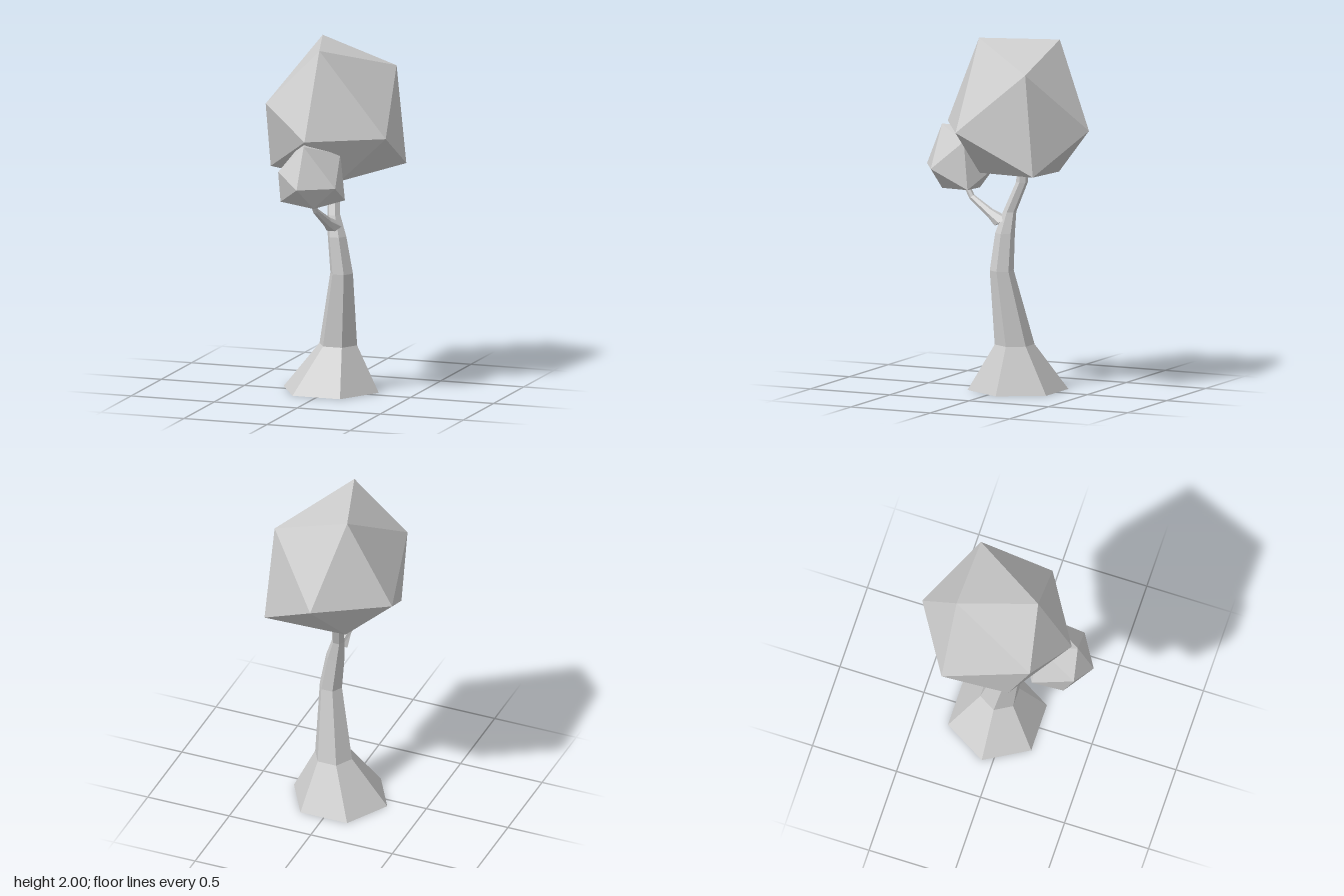
import * as THREE from 'three';
import { ConvexGeometry } from 'three/addons/geometries/ConvexGeometry.js';

const material = new THREE.MeshStandardMaterial({ color: 0xcccccc, flatShading: true });
const SIDES = 6;

// Six-sided limb through rings [x, y, z, radius, tilt about x], closed at both ends.
function limb(name, rings) {
  const axisX = new THREE.Vector3(1, 0, 0);
  const loops = rings.map(([x, y, z, r, tilt = 0]) =>
    Array.from({ length: SIDES }, (_, i) => {
      const a = (i / SIDES) * Math.PI * 2;
      return new THREE.Vector3(r * Math.cos(a), 0, r * Math.sin(a))
        .applyAxisAngle(axisX, tilt)
        .add(new THREE.Vector3(x, y, z));
    }));
  const points = [];
  for (let k = 0; k < loops.length - 1; k++) {
    const low = loops[k], up = loops[k + 1];
    for (let i = 0; i < SIDES; i++) {
      const j = (i + 1) % SIDES;
      points.push(low[j], low[i], up[i], low[j], up[i], up[j]);
    }
  }
  const first = loops[0], last = loops[loops.length - 1];
  for (let i = 1; i < SIDES - 1; i++) {
    points.push(first[0], first[i], first[i + 1], last[0], last[i + 1], last[i]);
  }
  const geometry = new THREE.BufferGeometry().setFromPoints(points);
  geometry.computeVertexNormals();
  const mesh = new THREE.Mesh(geometry, material);
  mesh.name = name;
  return mesh;
}

// Irregular twenty-sided foliage lump.
const crownCorners = [
  [-0.125, 2.0, -0.265], [0.015, 2.0, 0.175],                        // top ridge
  [0.32, 1.855, -0.265], [-0.29, 1.685, 0.225],                      // shoulders
  [0, 1.51, -0.51], [-0.4, 1.51, -0.265], [0.4, 1.51, 0.135], [0, 1.51, 0.38], // waist
  [0.355, 1.28, -0.33], [-0.305, 1.3, 0.1],                          // lower corners
  [0.12, 1.245, 0.12], [-0.115, 1.245, -0.265],                      // bottom ridge
].map((p) => new THREE.Vector3(...p));

function crown(name, scale, y, z) {
  const mesh = new THREE.Mesh(new ConvexGeometry(crownCorners), material);
  mesh.name = name;
  mesh.scale.setScalar(scale);
  mesh.position.set(0, y, z);
  return mesh;
}

export function createModel() {
  const tree = new THREE.Group();
  tree.name = 'tree';

  // Trunk with flared foot, leaning back into the large crown
  tree.add(limb('trunk', [
    [0, 0, -0.0625, 0.286],
    [0.043, 0.265, -0.0625, 0.113],
    [0.085, 0.69, -0.002, 0.068],
    [0.055, 0.9, -0.008, 0.056],
    [0.03, 1.02, -0.025, 0.038],
    [0.005, 1.19, -0.09, 0.034],
    [0.005, 1.28, -0.095, 0.03],
  ]));

  // Side branch reaching forward to the small crown
  tree.add(limb('branch', [
    [0.04, 0.96, 0.015, 0.05, 0.5],
    [0.03, 1.002, 0.095, 0.028, 1.2],
    [0.01, 1.085, 0.222, 0.018, 0.8],
    [0.005, 1.133, 0.251, 0.017, 0.4],
    [0.005, 1.18, 0.265, 0.016, 0.3],
  ]));

  tree.add(crown('largeCrown', 1, 0, 0));
  tree.add(crown('smallCrown', 0.475, 0.54, 0.33));
  return tree;
}
